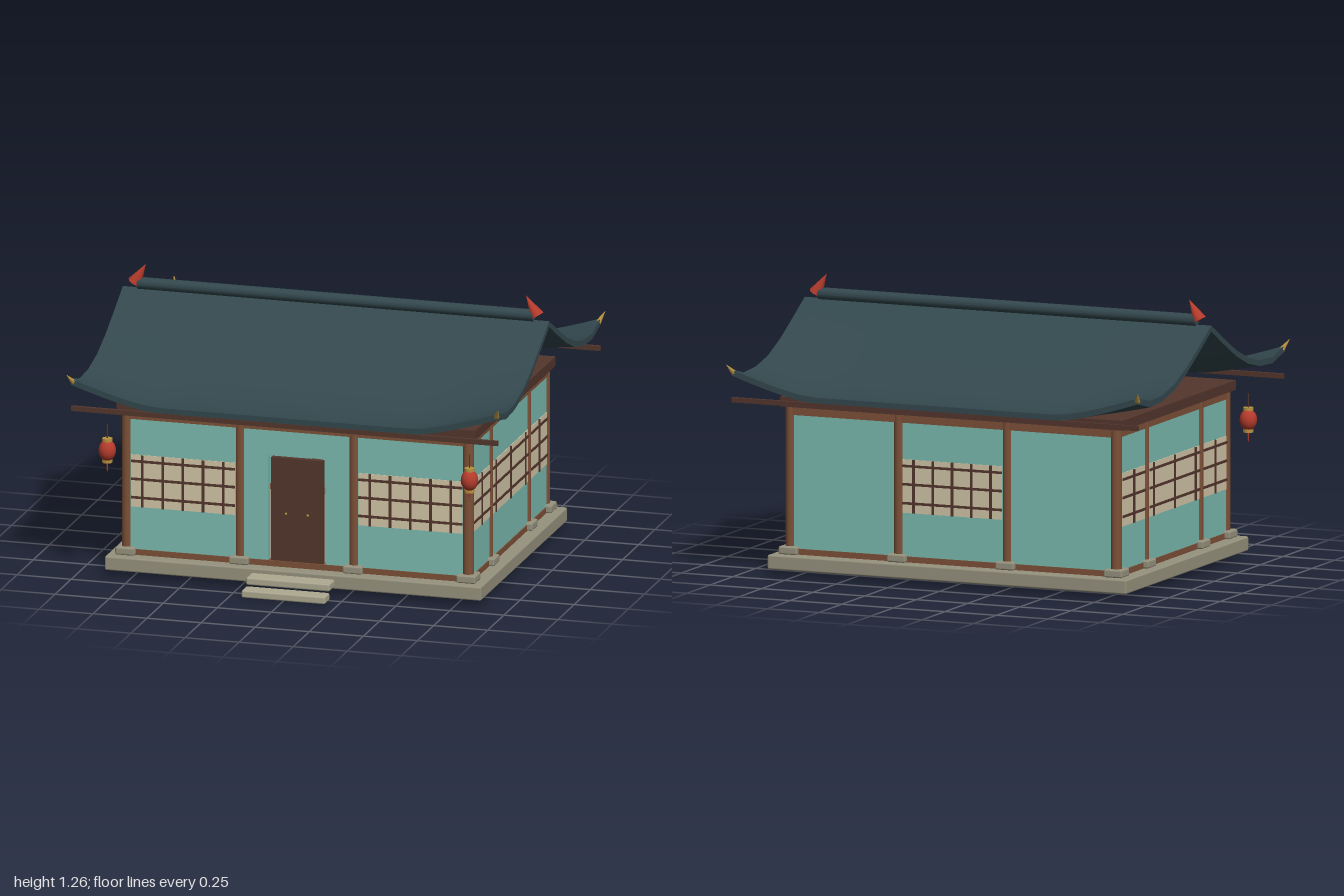
import * as THREE from 'three';
import { toCreasedNormals } from 'three/addons/utils/BufferGeometryUtils.js';
import { RoundedBoxGeometry } from 'three/addons/geometries/RoundedBoxGeometry.js';

const paint = (color) => new THREE.MeshStandardMaterial({ color });
const MAT = {
  stone: paint(0x97937f), step: paint(0xaea991), wood: paint(0x7d5138), dark: paint(0x53362c),
  wall: paint(0x7cbcb0), paper: paint(0xd3c7a9), roof: paint(0x33484e), red: paint(0xb53c2c), gold: paint(0xb8923f),
};

function add(parent, name, geometry, mat, x = 0, y = 0, z = 0) {
  const mesh = new THREE.Mesh(geometry, mat);
  mesh.name = name;
  mesh.position.set(x, y, z);
  parent.add(mesh);
  return mesh;
}
const box = (parent, name, mat, w, h, d, x, y, z) => add(parent, name, new THREE.BoxGeometry(w, h, d), mat, x, y, z);
const slab = (parent, name, mat, w, h, d, x, y, z) =>
  add(parent, name, new RoundedBoxGeometry(w, h, d, 1, 0.008), mat, x, y, z);

// cone with its base at one point and its tip at another
function spike(parent, name, mat, radius, base, tip, sides) {
  const a = new THREE.Vector3(...base), b = new THREE.Vector3(...tip);
  const mesh = add(parent, name, new THREE.ConeGeometry(radius, a.distanceTo(b), sides), mat);
  mesh.position.copy(a).lerp(b, 0.5);
  mesh.quaternion.setFromUnitVectors(new THREE.Vector3(0, 1, 0), b.sub(a).normalize());
}

// paper window with lattice; bars are spread evenly about the centre
function addWindow(parent, cx, width, bars, spacing) {
  const g = new THREE.Group();
  g.name = 'latticeWindow';
  g.position.x = cx;
  parent.add(g);
  box(g, 'windowPaper', MAT.paper, width, 0.24, 0.036, 0, 0.436, 0);
  for (const y of [0.36, 0.445, 0.527]) box(g, 'latticeRail', MAT.dark, width, 0.011, 0.046, 0, y, 0);
  for (let i = 0; i < bars; i++)
    box(g, 'latticeBar', MAT.dark, 0.011, 0.24, 0.046, (i - (bars - 1) / 2) * spacing, 0.436, 0);
}

// wall bay with a doorway and a double door
function addDoorBay(parent, width) {
  const half = 0.133, side = width / 2 - half;
  for (const s of [-1, 1]) {
    box(parent, 'doorSideWall', MAT.wall, side, 0.65, 0.03, s * (half + side / 2), 0.425, 0);
    box(parent, 'doorLeaf', MAT.dark, 0.1195, 0.482, 0.026, s * 0.0602, 0.354, 0);
    add(parent, 'doorKnob', new THREE.SphereGeometry(0.006, 8, 6), MAT.gold, s * 0.05, 0.34, 0.016);
  }
  box(parent, 'doorLintelWall', MAT.wall, half * 2, 0.145, 0.03, 0, 0.678, 0);
}

// one side of the house: columns, beams and three bays
function addSide(house, name, posts, depth, angle, bays) {
  const side = new THREE.Group();
  side.name = name;
  side.rotation.y = angle;
  side.position.set(Math.sin(angle) * depth, 0, Math.cos(angle) * depth);
  house.add(side);
  const length = posts[3] - posts[0];
  box(side, 'upperBeam', MAT.wood, length, 0.036, 0.04, 0, 0.738, 0);
  box(side, 'sillBeam', MAT.wood, length, 0.028, 0.04, 0, 0.107, 0);
  for (let i = 0; i < 3; i++) {
    add(side, 'column', new THREE.CylinderGeometry(0.025, 0.025, 0.64, 16), MAT.wood, posts[i], 0.44, 0);
    slab(side, 'columnBase', MAT.stone, 0.09, 0.036, 0.09, posts[i], 0.113, 0);
    const width = posts[i + 1] - posts[i], cx = (posts[i] + posts[i + 1]) / 2;
    const bay = bays[i];
    if (bay === 'door') { addDoorBay(side, width); continue; }
    box(side, 'wallPanel', MAT.wall, width, 0.65, 0.03, cx, 0.425, 0);
    if (bay) addWindow(side, cx, width - 0.045, bay[0], bay[1]);
  }
}

// sagging roof with upturned corners, from cross-sections along x
const ROOF_X = 0.985, ROOF_Z = 0.8;
const SLOPE = [1.146, 1.068, 0.988, 0.918, 0.868, 0.836, 0.838];
function roofPoint(x, k) {
  const t = Math.max(0, (Math.abs(x) - 0.6) / (ROOF_X - 0.6));
  const s = Math.abs(k) / 6;
  return [x, SLOPE[Math.abs(k)] + 0.1 * s * s * Math.pow(t, 1.3), (k / 6) * ROOF_Z];
}
function roofGeometry() {
  const loops = [], xs = [];
  for (let i = 0; i <= 24; i++) xs.push(-ROOF_X + (2 * ROOF_X * i) / 24);
  for (const x of xs) {
    const top = [];
    for (let k = 6; k >= -6; k--) top.push(roofPoint(x, k));
    loops.push([...top, ...top.map(([a, y, z]) => [a, y - 0.027, z]).reverse()]);
  }
  const pos = [];
  const quad = (a, b, c, d) => pos.push(...a, ...b, ...c, ...a, ...c, ...d);
  const n = 26, first = loops[0], last = loops[24];
  for (let i = 0; i < 24; i++)
    for (let j = 0; j < n; j++) {
      const m = (j + 1) % n;
      quad(loops[i][j], loops[i + 1][j], loops[i + 1][m], loops[i][m]);
    }
  for (let j = 0; j < 12; j++) {
    quad(first[j], first[j + 1], first[n - 2 - j], first[n - 1 - j]);
    quad(last[n - 1 - j], last[n - 2 - j], last[j + 1], last[j]);
  }
  const g = new THREE.BufferGeometry();
  g.setAttribute('position', new THREE.Float32BufferAttribute(pos, 3));
  return toCreasedNormals(g, 0.6);
}

function addLantern(house, x) {
  const g = new THREE.Group();
  g.name = 'lantern';
  g.position.set(x, 0.605, 0.737);
  house.add(g);
  add(g, 'lanternBody', new THREE.SphereGeometry(0.039, 16, 12), MAT.red).scale.y = 1.25;
  for (const s of [-1, 1])
    add(g, 'lanternCap', new THREE.CylinderGeometry(0.023, 0.023, 0.014, 12), MAT.gold, 0, s * 0.049, 0);
  add(g, 'lanternCord', new THREE.CylinderGeometry(0.003, 0.003, 0.065, 6), MAT.dark, 0, 0.087, 0);
  add(g, 'lanternTassel', new THREE.CylinderGeometry(0.005, 0.002, 0.045, 6), MAT.red, 0, -0.076, 0);
}

export function createModel() {
  const house = new THREE.Group();
  house.name = 'house';

  // platform and steps
  slab(house, 'platform', MAT.stone, 1.74, 0.065, 1.34, 0, 0.0625, 0);
  slab(house, 'upperStep', MAT.step, 0.387, 0.035, 0.1, 0, 0.057, 0.7);
  slab(house, 'lowerStep', MAT.step, 0.387, 0.035, 0.078, 0, 0.0175, 0.781);

  // walls
  const long = [-0.788, -0.263, 0.263, 0.788], short = [-0.59, -0.295, 0.295, 0.59];
  const wide = [5, 0.0935], gable = [[1, 0], [3, 0.228], [1, 0]];
  addSide(house, 'frontWall', long, 0.59, 0, [wide, 'door', wide]);
  addSide(house, 'leftWall', short, 0.788, Math.PI / 2, gable);
  addSide(house, 'backWall', long, 0.59, Math.PI, [null, wide, null]);
  addSide(house, 'rightWall', short, 0.788, -Math.PI / 2, gable);
  box(house, 'ceilingSlab', MAT.dark, 1.66, 0.044, 1.24, 0, 0.778, 0);

  // roof, ridge and trim
  add(house, 'roof', roofGeometry(), MAT.roof);
  const ridge = add(house, 'ridgeBeam', new THREE.CylinderGeometry(0.027, 0.027, 1.83, 10), MAT.roof, 0, 1.167, 0);
  ridge.rotation.z = Math.PI / 2;
  for (const s of [-1, 1]) {
    box(house, 'eaveBar', MAT.dark, 1.97, 0.022, 0.016, 0, 0.802, s * 0.793);
    spike(house, 'ridgeFinial', MAT.red, 0.033, [s * 0.93, 1.168, 0], [s * 0.878, 1.257, 0], 8);
    for (const e of [-1, 1])
      spike(house, 'cornerTip', MAT.gold, 0.014, [s * 0.976, 0.92, e * 0.788], [s * 0.998, 0.966, e * 0.832], 6);
    addLantern(house, s * 0.837);
  }
  return house;
}
